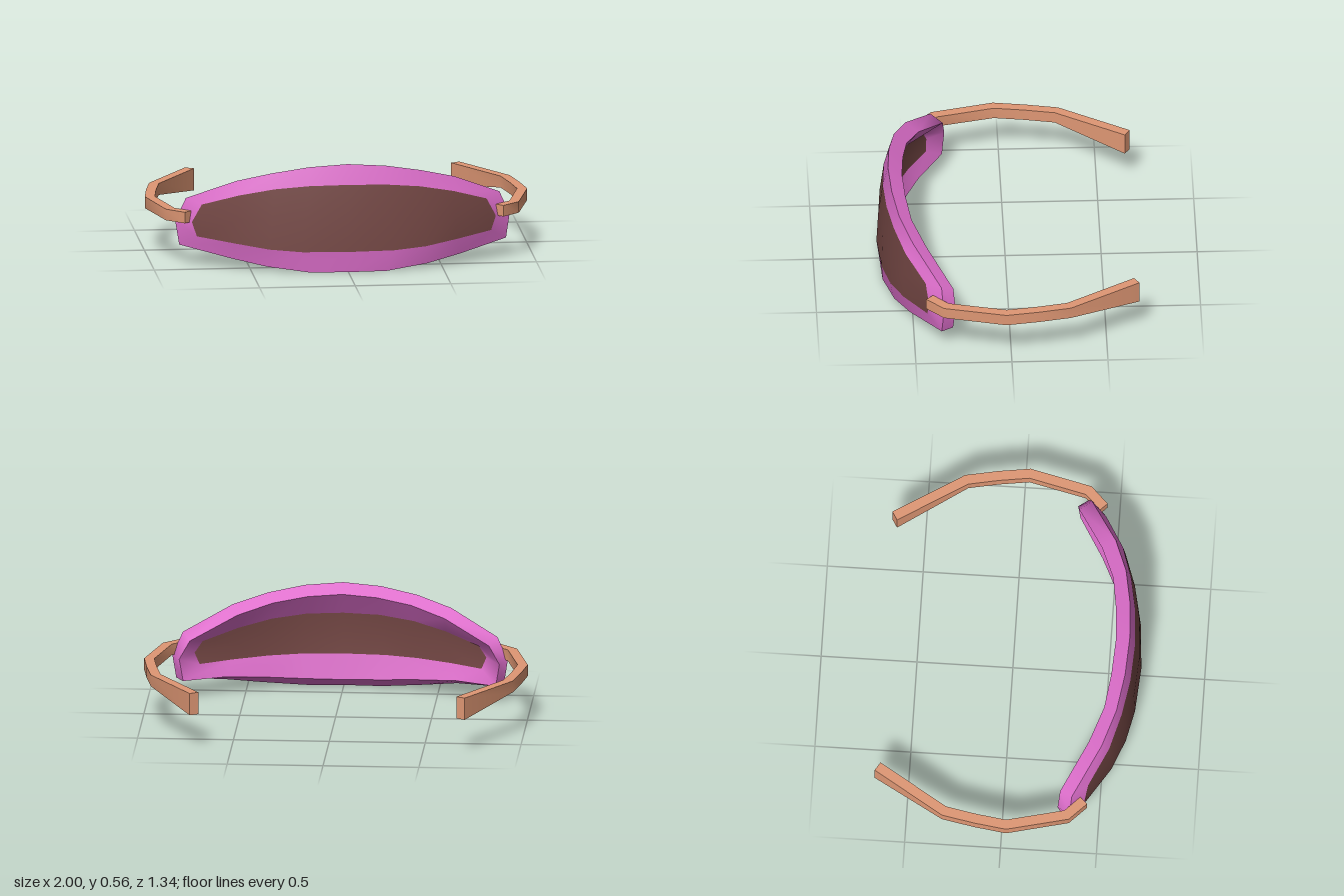
import * as THREE from 'three';
import { toCreasedNormals } from 'three/addons/utils/BufferGeometryUtils.js';

// Half outlines (x, y, z) from top centre, round the left tip, to bottom centre
const OUTER = [
  [0, .565, .61], [.2, .55, .598], [.39, .515, .565], [.57, .465, .5], [.82, .35, .36],
  [.875, .23, .35],
  [.855, .103, .36], [.6, .057, .515], [.42, .025, .592], [.2, 0, .645], [0, 0, .655],
];
const LENS_FRONT = [
  [0, .46, .637], [.2, .455, .625], [.38, .435, .592], [.56, .395, .538], [.745, .33, .44],
  [.795, .235, .425],
  [.77, .16, .432], [.58, .142, .55], [.41, .12, .615], [.24, .11, .652], [0, .11, .67],
];
const BACK = [
  [0, .518, .537], [.18, .506, .526], [.36, .475, .5], [.54, .425, .43], [.78, .317, .297],
  [.835, .22, .287],
  [.815, .1, .3], [.6, .092, .43], [.38, .065, .54], [.19, .05, .582], [0, .046, .59],
];
const LENS_BACK = [
  [0, .4, .612], [.19, .395, .6], [.37, .375, .56], [.54, .34, .495], [.72, .29, .4],
  [.761, .232, .383],
  [.735, .17, .387], [.57, .172, .485], [.385, .175, .567], [.22, .178, .605], [0, .18, .615],
];

// Temple centre line (x, z) with the height of its lower edge
const TEMPLE = [
  [.815, .422, .232], [.9, .338, .232], [.974, .027, .23],
  [.951, -.135, .23], [.919, -.3, .23], [.695, -.661, .174],
];

const mirrorX = ([x, y, z]) => [-x, y, z];

// Completes a half outline into a closed ring
function fullRing(half) {
  return [...half, ...half.slice(1, -1).reverse().map(mirrorX)];
}

// Skins a list of equal-length rows; wrap closes each row, caps closes quad ends
function loft(rows, { wrap = true, caps = false, crease = 1.1 } = {}) {
  const n = rows[0].length;
  const index = [];
  for (let r = 0; r < rows.length - 1; r++) {
    for (let i = 0; i < (wrap ? n : n - 1); i++) {
      const j = (i + 1) % n;
      const a = r * n + i, b = r * n + j, c = a + n, d = b + n;
      index.push(a, c, b, b, c, d);
    }
  }
  if (caps) {
    const e = (rows.length - 1) * n;
    index.push(0, 1, 2, 0, 2, 3, e, e + 2, e + 1, e, e + 3, e + 2);
  }
  const geometry = new THREE.BufferGeometry();
  geometry.setAttribute('position', new THREE.Float32BufferAttribute(rows.flat(2), 3));
  geometry.setIndex(index);
  return toCreasedNormals(geometry, crease);
}

// Fills a half outline and its mirror image with a curved surface
function lensGeometry(outline) {
  const top = outline.slice(0, 6);
  const bottom = outline.slice(5).reverse();
  // Middle row bulges slightly, fading out at the tips
  const middle = top.map((t, i) => t.map((v, k) =>
    (v + bottom[i][k]) / 2 + (k === 2 && i < 5 ? 0.007 : 0)));
  const rows = [top, middle, bottom].map((row) =>
    [...row.slice(1).reverse().map(mirrorX), ...row]);
  return loft(rows, { wrap: false });
}

// Rectangular bar swept along the centre line with mitred corners
function templeGeometry(side) {
  const half = 0.026, topY = 0.291;
  const normals = TEMPLE.slice(1).map(([x, z], i) =>
    new THREE.Vector2(TEMPLE[i][1] - z, x - TEMPLE[i][0]).normalize());
  const rows = TEMPLE.map(([x, z, low], i) => {
    const n1 = normals[Math.max(i - 1, 0)];
    const n2 = normals[Math.min(i, normals.length - 1)];
    const m = n1.clone().add(n2).multiplyScalar(half / (1 + n1.dot(n2)));
    const corners = [
      [x + m.x, low, z + m.y], [x + m.x, topY, z + m.y],
      [x - m.x, topY, z - m.y], [x - m.x, low, z - m.y],
    ];
    return side > 0 ? corners : corners.map(mirrorX).reverse();
  });
  return loft(rows, { caps: true, crease: 0.7 });
}

export function createModel() {
  const group = new THREE.Group();
  group.name = 'goggles';
  const add = (name, geometry, material, parent = group) => {
    const mesh = new THREE.Mesh(geometry, material);
    mesh.name = name;
    parent.add(mesh);
  };

  const frameMaterial = new THREE.MeshStandardMaterial({ color: 0xdd6ecb });
  const lensMaterial = new THREE.MeshStandardMaterial({ color: 0x744744, side: THREE.DoubleSide });
  const templeMaterial = new THREE.MeshStandardMaterial({ color: 0xdf9774 });

  // Wraparound frame: front face, outer wall and sloping back face
  const frame = new THREE.Group();
  frame.name = 'frame';
  group.add(frame);
  const [outer, lensFront, back, lensBack] = [OUTER, LENS_FRONT, BACK, LENS_BACK].map(fullRing);
  add('frameFront', loft([outer, lensFront]), frameMaterial, frame);
  add('frameOuterWall', loft([back, outer]), frameMaterial, frame);
  add('frameBack', loft([lensBack, back]), frameMaterial, frame);

  // Thick curved lens, seen from the front and from behind
  add('lensFront', lensGeometry(LENS_FRONT), lensMaterial);
  add('lensBack', lensGeometry(LENS_BACK), lensMaterial);

  // Temples hooking round the head
  add('leftTemple', templeGeometry(1), templeMaterial);
  add('rightTemple', templeGeometry(-1), templeMaterial);

  return group;
}
